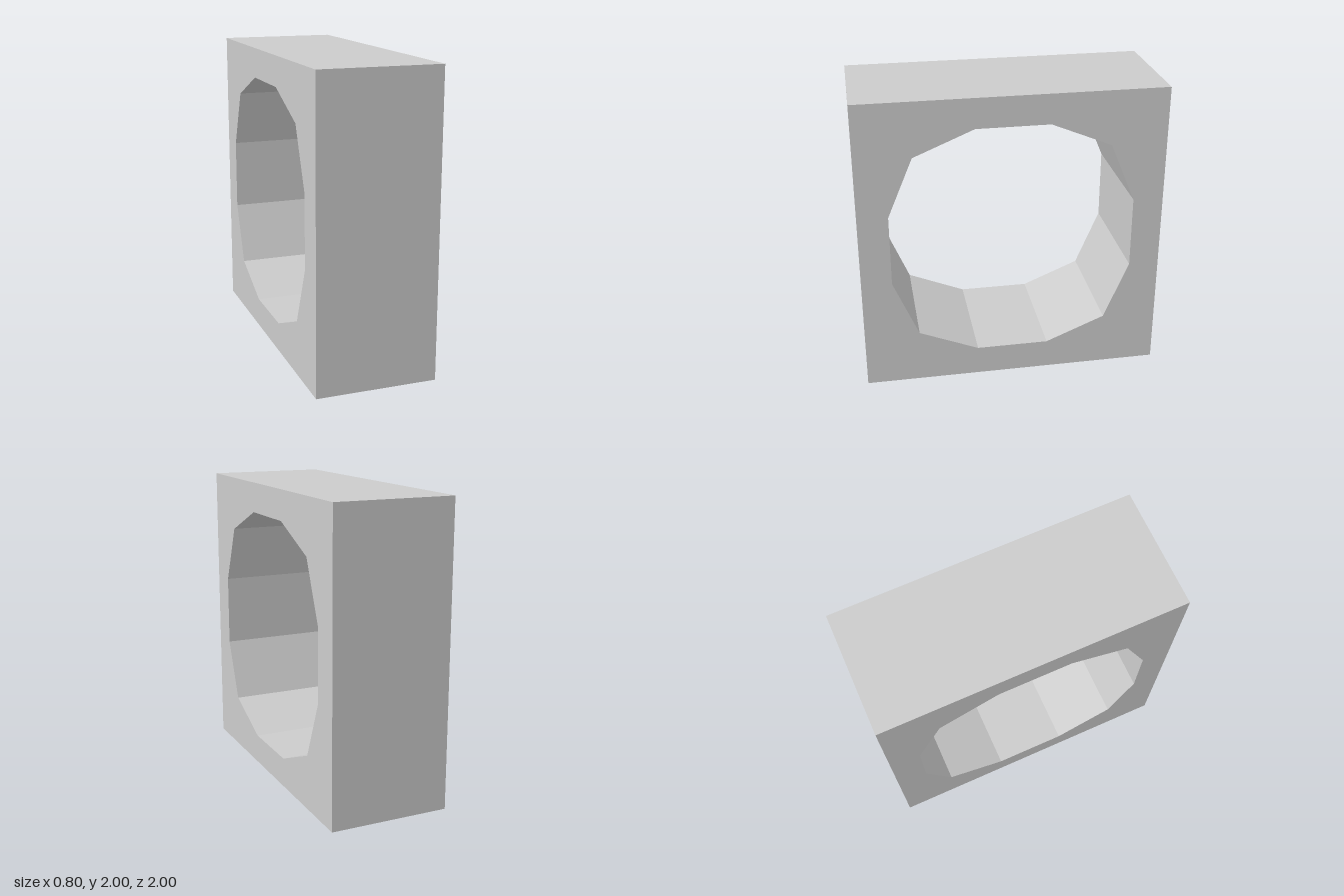
import * as THREE from 'three';

const HALF = 1;      // half side of the square block
const DEPTH = 0.8;   // thickness along x

export function createModel() {
  const group = new THREE.Group();
  group.name = 'piercedBlock';

  // Square outline
  const outline = new THREE.Shape([
    new THREE.Vector2(-HALF, -HALF),
    new THREE.Vector2(HALF, -HALF),
    new THREE.Vector2(HALF, HALF),
    new THREE.Vector2(-HALF, HALF),
  ]);

  // Twelve-sided opening: three corners per quarter, turned four times
  const quarter = [[0.8, -0.24], [0.8, 0.24], [0.635, 0.635]];
  const corners = [];
  for (let i = 0; i < 4; i++) {
    for (const [x, y] of quarter) {
      corners.push(new THREE.Vector2(x, y).rotateAround(new THREE.Vector2(), i * Math.PI / 2));
    }
  }
  outline.holes.push(new THREE.Path(corners.reverse()));

  // Extrude, then turn so the opening runs along x
  const geometry = new THREE.ExtrudeGeometry(outline, { depth: DEPTH, bevelEnabled: false });
  geometry.translate(0, 0, -DEPTH / 2);
  geometry.rotateY(Math.PI / 2);
  geometry.translate(0, HALF, 0);

  const block = new THREE.Mesh(
    geometry,
    new THREE.MeshStandardMaterial({ color: 0xcccccc, flatShading: true })
  );
  block.name = 'blockWithOpening';
  group.add(block);
  return group;
}
